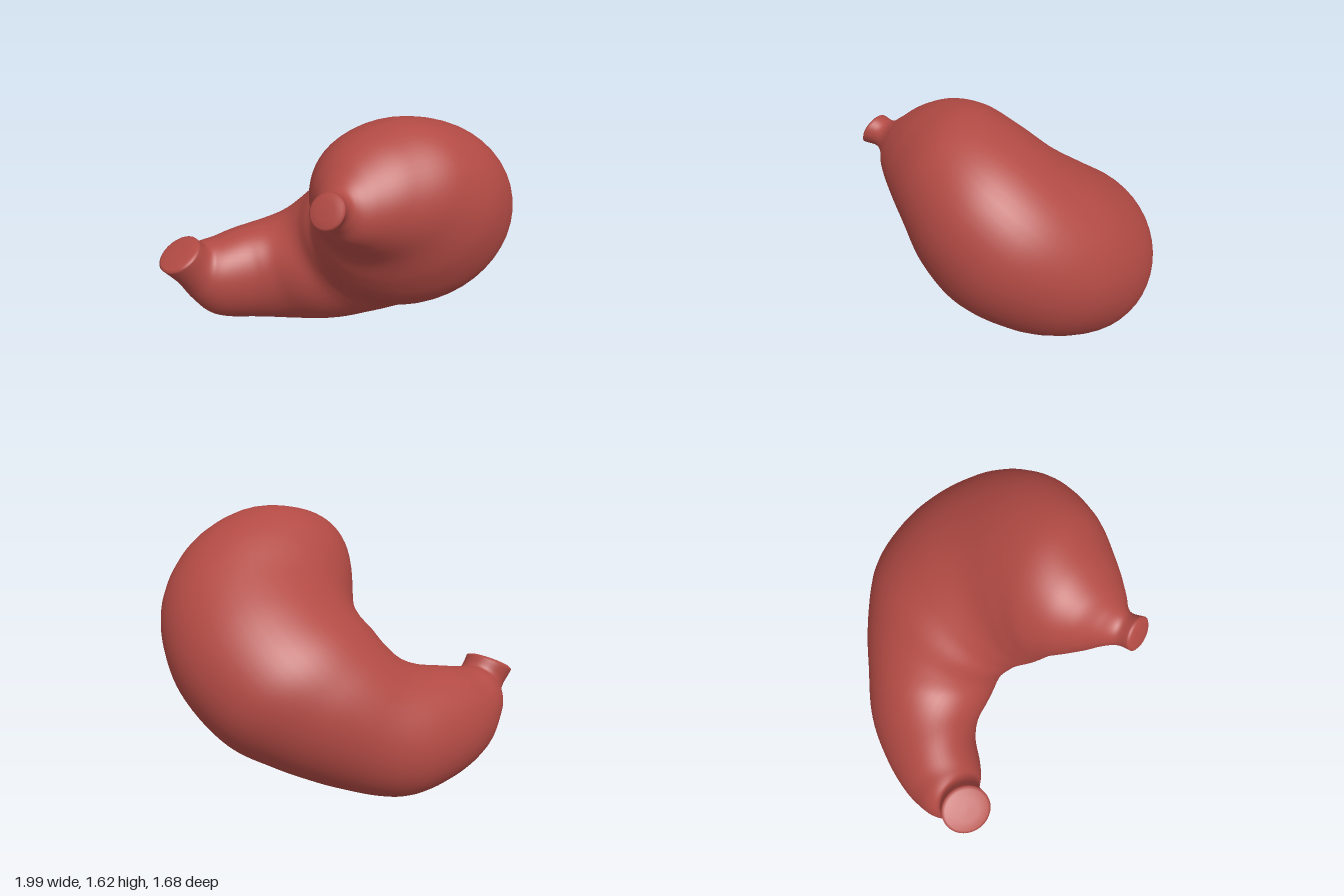
import * as THREE from 'three';

// The organ bends in a tilted plane: x, s (forward and up), n (normal to it)
const place = (x, s, n) => new THREE.Vector3(x, 0.68 * s + 0.73 * n, 0.73 * s - 0.68 * n);
const NORMAL = place(0, 0, 1).normalize();

// Cross-sections: inner edge (x, s, n), outer edge (x, s, n), half thickness
const SECTIONS = [
  [-0.515, 1.36, 0.465, -0.39, 1.52, 0.465, 0.095], // upper tube lip
  [-0.45, 1.31, 0.485, -0.335, 1.47, 0.485, 0.09],  // upper tube neck
  [-0.41, 1.23, 0.52, -0.275, 1.47, 0.52, 0.15],
  [-0.38, 1.13, 0.55, -0.17, 1.505, 0.555, 0.24],
  [-0.34, 1.02, 0.58, 0.03, 1.55, 0.58, 0.32],
  [-0.29, 0.90, 0.58, 0.32, 1.56, 0.58, 0.39],      // dome
  [-0.26, 0.80, 0.53, 0.65, 1.42, 0.53, 0.46],
  [-0.23, 0.70, 0.495, 0.90, 1.12, 0.495, 0.50],
  [-0.20, 0.60, 0.52, 1.00, 0.68, 0.52, 0.51],      // widest part
  [-0.20, 0.51, 0.56, 0.91, 0.26, 0.56, 0.49],
  [-0.21, 0.42, 0.60, 0.68, 0.00, 0.52, 0.46],
  [-0.25, 0.33, 0.67, 0.35, -0.24, 0.45, 0.41],
  [-0.32, 0.24, 0.75, 0.00, -0.425, 0.45, 0.34],
  [-0.42, 0.18, 0.80, -0.35, -0.425, 0.47, 0.285],
  [-0.53, 0.14, 0.81, -0.65, -0.335, 0.505, 0.245],
  [-0.63, 0.12, 0.80, -0.80, -0.21, 0.605, 0.195],
  [-0.69, 0.117, 0.80, -0.89, -0.066, 0.676, 0.14], // lower tube neck
  [-0.745, 0.162, 0.83, -0.99, 0.022, 0.767, 0.15], // lower tube lip
];

const SIDES = 48;
const STEPS = 136;

function sweepGeometry() {
  const smooth = (points) => new THREE.CatmullRomCurve3(points, false, 'catmullrom', 0.5);
  const inner = smooth(SECTIONS.map((r) => place(r[0], r[1], r[2])));
  const outer = smooth(SECTIONS.map((r) => place(r[3], r[4], r[5])));
  const depth = smooth(SECTIONS.map((r) => new THREE.Vector3(r[6], 0, 0)));
  const centre = (t) => inner.getPoint(t).add(outer.getPoint(t)).multiplyScalar(0.5);

  const positions = [];
  const addRing = (t, scale, push) => {
    const tangent = centre(Math.min(1, t + 0.03)).sub(centre(Math.max(0, t - 0.03)));
    // The upper half stays square to the bending plane, the lower half twists freely
    const upright = 1 - THREE.MathUtils.smoothstep(t, 0.45, 0.8);
    tangent.addScaledVector(NORMAL, -upright * tangent.dot(NORMAL)).normalize();
    const a = outer.getPoint(t).sub(inner.getPoint(t)).multiplyScalar(0.5);
    const b = tangent.clone().cross(a).normalize().multiplyScalar(depth.getPoint(t).x);
    const c = centre(t).addScaledVector(tangent, push);
    for (let j = 0; j < SIDES; j++) {
      const angle = (j / SIDES) * Math.PI * 2;
      const p = c.clone()
        .addScaledVector(a, Math.cos(angle) * scale)
        .addScaledVector(b, Math.sin(angle) * scale);
      positions.push(p.x, p.y, p.z);
    }
  };

  // Slightly domed caps close both tube ends
  const cap = [[0, 0.014], [0.5, 0.013], [0.88, 0.009]];
  cap.forEach(([scale, push]) => addRing(0, scale, -push));
  for (let i = 0; i <= STEPS; i++) addRing(i / STEPS, 1, 0);
  cap.slice().reverse().forEach(([scale, push]) => addRing(1, scale, push));

  // Skin between rings; the collapsed end rings need one triangle per side
  const index = [];
  const rings = positions.length / 3 / SIDES;
  for (let i = 0; i < rings - 1; i++) {
    for (let j = 0; j < SIDES; j++) {
      const p = i * SIDES + j;
      const q = i * SIDES + ((j + 1) % SIDES);
      if (i > 0) index.push(p, q, p + SIDES);
      if (i < rings - 2) index.push(q, q + SIDES, p + SIDES);
    }
  }
  const geometry = new THREE.BufferGeometry();
  geometry.setAttribute('position', new THREE.Float32BufferAttribute(positions, 3));
  geometry.setIndex(index);
  geometry.computeVertexNormals();
  return geometry;
}

export function createModel() {
  const group = new THREE.Group();
  group.name = 'stomach';
  const material = new THREE.MeshStandardMaterial({ color: 0xb24a44 });
  const body = new THREE.Mesh(sweepGeometry(), material);
  body.name = 'stomachBody';
  group.add(body);

  // Stand on the ground, centred
  const box = new THREE.Box3().setFromObject(body);
  const middle = box.getCenter(new THREE.Vector3());
  body.position.set(-middle.x, -box.min.y, -middle.z);
  return group;
}
